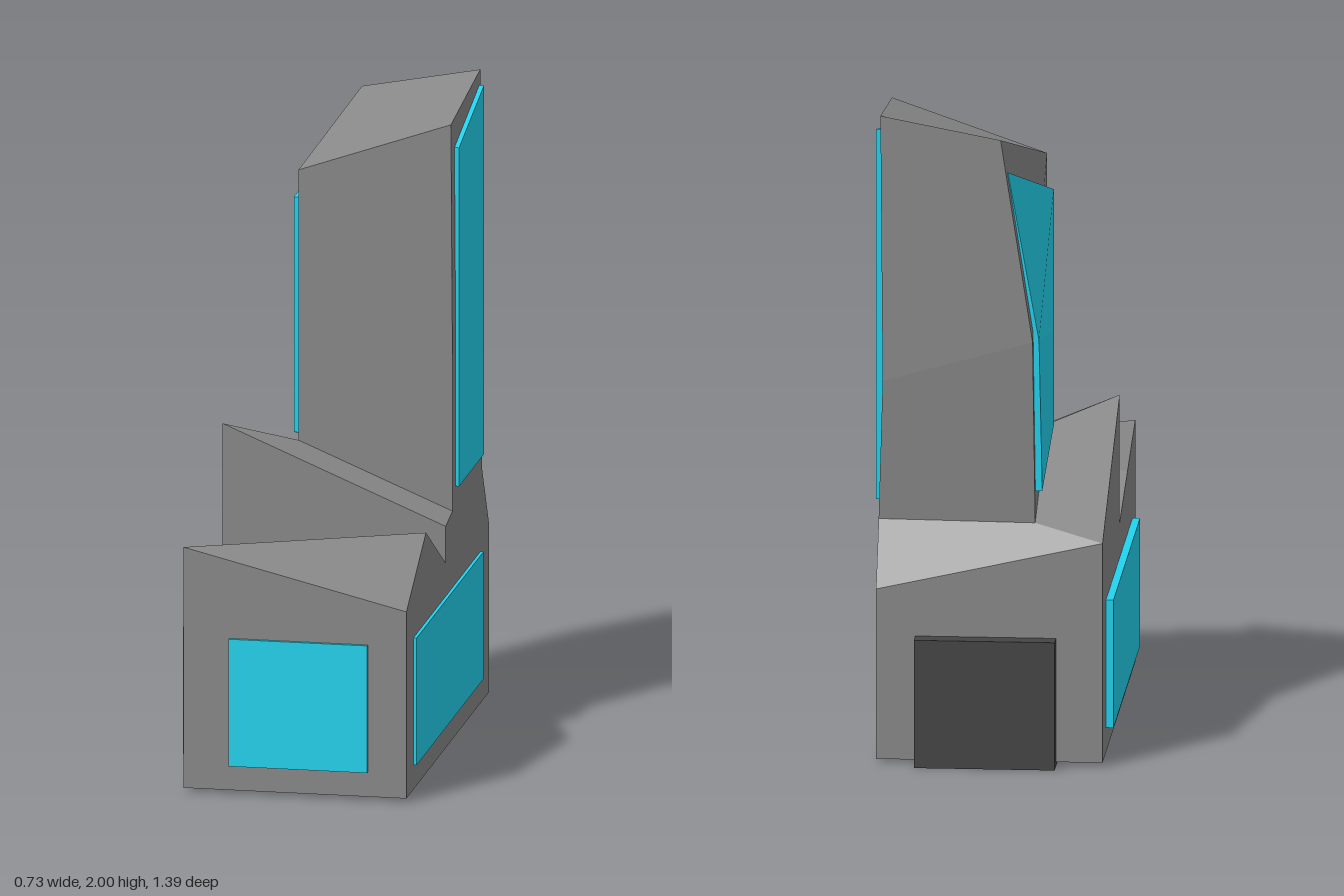
import * as THREE from 'three';

const bodyMat = new THREE.MeshStandardMaterial({ color: 0x888888 });
const panelMat = new THREE.MeshStandardMaterial({ color: 0x22d3ee });
const darkMat = new THREE.MeshStandardMaterial({ color: 0x444444 });

// Average normal of a polygon, so slightly warped faces shade evenly
function faceNormal(p) {
  const n = new THREE.Vector3();
  p.forEach((a, i) => {
    const b = p[(i + 1) % p.length];
    n.add(new THREE.Vector3(...a).cross(new THREE.Vector3(...b)));
  });
  return n.normalize().toArray();
}

// Solid from polygons; each polygon is fanned from its first corner
function facets(name, polygons, material) {
  const pos = [], nor = [];
  for (const p of polygons) {
    const n = faceNormal(p);
    for (let i = 1; i < p.length - 1; i++) {
      pos.push(...p[0], ...p[i], ...p[i + 1]);
      nor.push(...n, ...n, ...n);
    }
  }
  const g = new THREE.BufferGeometry();
  g.setAttribute('position', new THREE.Float32BufferAttribute(pos, 3));
  g.setAttribute('normal', new THREE.Float32BufferAttribute(nor, 3));
  const mesh = new THREE.Mesh(g, material);
  mesh.name = name;
  return mesh;
}

// Thin plate of quads: the closed outline is pushed inwards along x
function plate(name, quads, outline, depth, material) {
  const push = ([x, y, z]) => [x + depth, y, z];
  const sides = outline.map((p, i) => {
    const q = outline[(i + 1) % outline.length];
    return [p, push(p), push(q), q];
  });
  const backs = quads.map((q) => q.map(push).reverse());
  return facets(name, [...quads, ...backs, ...sides], material);
}

// Box given by its limits on each axis
function block(name, [x0, x1], [y0, y1], [z0, z1], material) {
  const mesh = new THREE.Mesh(new THREE.BoxGeometry(x1 - x0, y1 - y0, z1 - z0), material);
  mesh.position.set((x0 + x1) / 2, (y0 + y1) / 2, (z0 + z1) / 2);
  mesh.name = name;
  return mesh;
}

export function createModel() {
  const model = new THREE.Group();
  model.name = 'angularBuilding';
  const L = -0.342, R = 0.35, F = 0.683, B = -0.638, Y = 0.013;

  // Base: floor corners, front roof, valley, step and rear eaves
  const a0 = [L, Y, F], a1 = [R, Y, F], a2 = [R, Y, B], a3 = [L, Y, B];
  const frontL = [L, 0.77, F], frontR = [R, 0.6, F];
  const ridgeL = [L, 0.685, 0.37], ridgeR = [R, 0.77, 0.37];
  const valleyL = [L, 0.6, 0.055], valleyR = [R, 0.595, 0.055];
  const peakL = [L, 1.0, 0.055], peakR = [R, 0.71, 0.055];
  const backL = [L, 0.7, B], backR = [R, 0.545, B];

  // Tower: foot, bend and roof corners
  const t1 = [-0.128, 0.93, -0.055], t2 = [R, 0.73, -0.055];
  const t3 = [R, 0.74, -0.53], t4 = [-0.128, 0.735, -0.53];
  const m1 = [-0.128, 1.24, -0.055], m2 = [R, 1.18, -0.055];
  const m3 = [0.335, 1.18, -0.567], m4 = [-0.12, 1.3, -0.53];
  const u1 = [-0.128, 1.78, -0.055], u2 = [0.345, 1.945, -0.055];
  const u3 = [0.345, 2.0, -0.525], u4 = [-0.022, 1.93, -0.525];

  model.add(facets('base', [
    [a0, a1, frontR, frontL],
    [a3, a2, a1, a0],
    [a2, a3, backL, backR],
    [valleyR, ridgeR, frontR, a1, a2, backR, t3, t2, peakR],
    [valleyL, peakL, backL, a3, a0, frontL, ridgeL],
    [frontL, frontR, ridgeR, ridgeL],
    [ridgeL, ridgeR, valleyR, valleyL],
    [valleyL, valleyR, peakR, peakL],
    [peakL, peakR, t2, t1],
    [peakL, t1, t4, backL],
    [t4, t3, backR, backL],
  ], bodyMat));

  model.add(facets('tower', [
    [t1, t2, m2, u2, u1, m1],
    [t2, t3, m3, m2],
    [m2, m3, u3, u2],
    [t3, t4, m4, m3],
    [m3, m4, u4, u3],
    [t4, t1, m1, m4],
    [u1, u4, m4, m1],
    [u1, u2, u3, u4],
  ], bodyMat));

  // Base windows
  model.add(block('frontWindow', [-0.2, 0.23], [0.09, 0.49], [0.66, 0.694], panelMat));
  model.add(block('leftWindow', [0.33, 0.36], [0.09, 0.49], [-0.5, 0.57], panelMat));
  model.add(block('rightWindow', [-0.365, -0.33], [0.09, 0.49], [-0.5, 0.57], panelMat));

  // Tower windows; the right one bends with the wall
  const leftPane = [
    [0.36, 0.795, -0.108], [0.36, 0.795, -0.507], [0.36, 1.955, -0.507], [0.36, 1.86, -0.108],
  ];
  model.add(plate('towerLeftWindow', [leftPane], leftPane, -0.03, panelMat));
  const w0 = [-0.148, 0.83, -0.507], w1 = [-0.153, 0.94, -0.11];
  const w2 = [-0.153, 1.24, -0.11], w3 = [-0.153, 1.68, -0.11];
  const w4 = [-0.043, 1.825, -0.507], w5 = [-0.138, 1.3, -0.507];
  model.add(plate('towerRightWindow', [[w0, w1, w2, w5], [w3, w4, w5, w2]],
    [w0, w1, w2, w3, w4, w5], 0.03, panelMat));

  // Rear door block and the plate under the floor
  model.add(block('rearDoor', [-0.2, 0.23], [0.005, 0.4], [-0.695, -0.62], darkMat));
  model.add(block('floorPlate', [-0.2, 0.23], [0, 0.03], [-0.695, 0.37], darkMat));
  return model;
}
